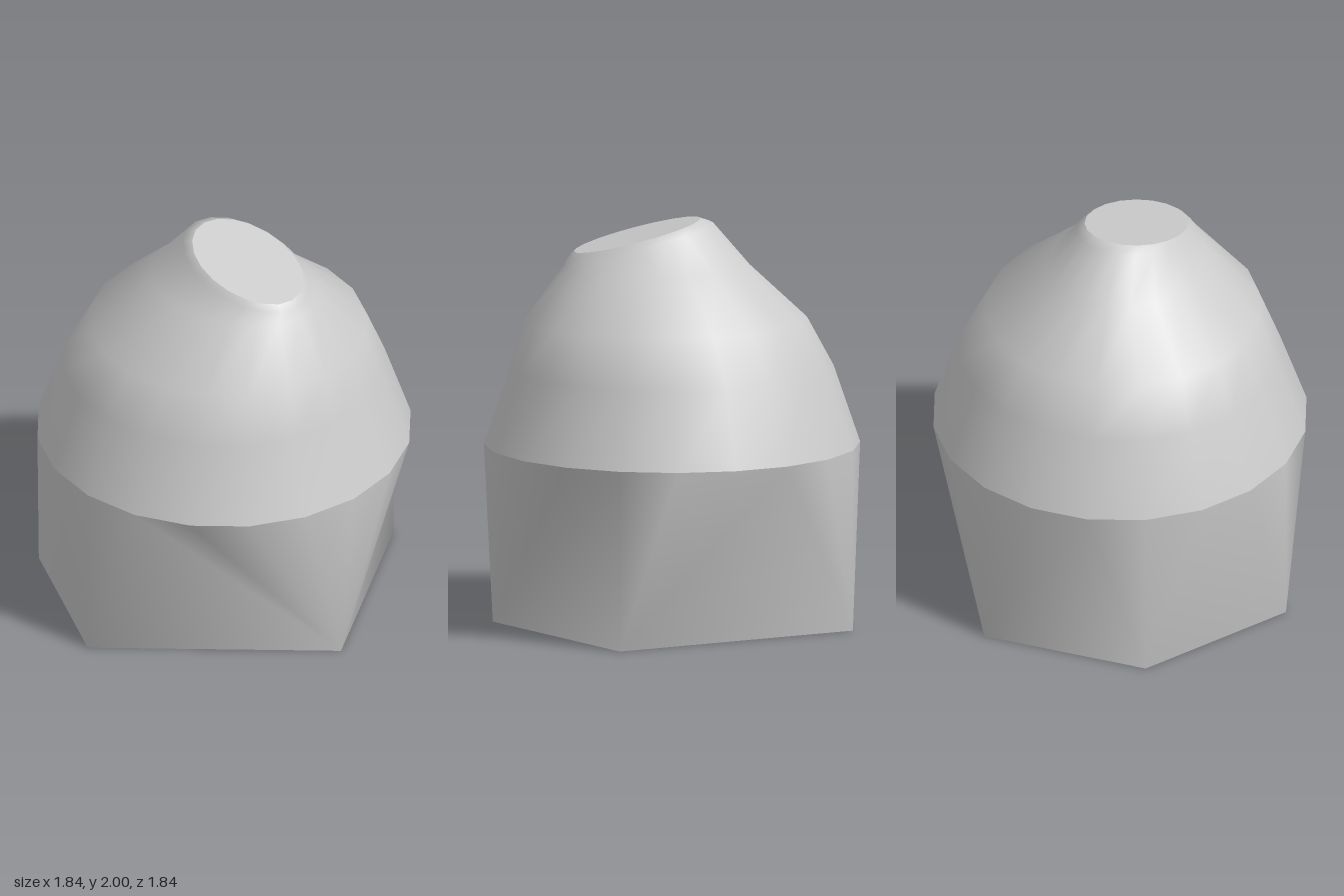
import * as THREE from 'three';

const SIDES = 20;

function surface(name, points, index) {
  const geometry = new THREE.BufferGeometry();
  geometry.setAttribute('position', new THREE.Float32BufferAttribute(points.flatMap((p) => p.toArray()), 3));
  geometry.setIndex(index);
  geometry.computeVertexNormals();
  const mesh = new THREE.Mesh(geometry, new THREE.MeshStandardMaterial({ color: 0xcccccc }));
  mesh.name = name;
  return mesh;
}

// Elliptical ring; tilt is the height gained per unit of x from its centre
function ring({ x = 0, y, rx, rz = rx, tilt = 0 }) {
  return Array.from({ length: SIDES }, (_, i) => {
    const a = (i / SIDES) * Math.PI * 2;
    const dx = rx * Math.cos(a);
    return new THREE.Vector3(x + dx, y + tilt * dx, rz * Math.sin(a));
  });
}

export function createModel() {
  const group = new THREE.Group();

  // Shoulders rising to a slanted neck
  const shoulder = { y: 0.89, rx: 0.92 };
  const levels = [
    shoulder,
    { y: 1.27, rx: 0.79 },
    { x: 0.03, y: 1.51, rx: 0.69, rz: 0.67 },
    { x: 0.075, y: 1.77, rx: 0.455, rz: 0.365 },
    { x: 0.155, y: 1.895, rx: 0.355, rz: 0.262, tilt: -0.24 },
    { x: 0.17, y: 1.92, rx: 0.31, rz: 0.235, tilt: -0.26 },
  ].map(ring);
  const domeIndex = [];
  for (let r = 0; r < levels.length - 1; r++) {
    for (let i = 0; i < SIDES; i++) {
      const j = (i + 1) % SIDES;
      const a = r * SIDES + i, b = r * SIDES + j;
      domeIndex.push(a, a + SIDES, b, b, a + SIDES, b + SIDES);
    }
  }
  group.add(surface('shoulders', levels.flat(), domeIndex));

  // Flat slanted cap closing the neck
  const rim = levels[levels.length - 1];
  const capIndex = [];
  for (let i = 1; i < SIDES - 1; i++) capIndex.push(0, i + 1, i);
  group.add(surface('neckCap', rim, capIndex));

  // Irregular five-cornered foot
  const corners = [[0.875, 0.045], [0, 0.92], [-0.744, 0.541], [-0.875, -0.284], [0.284, -0.875]]
    .map(([x, z]) => new THREE.Vector3(x, 0, z));

  // Skirt: each foot corner fans out to a run of the round ring,
  // and one large triangle fills the wall above each foot edge
  const apex = [4, 6, 9, 13, 16];
  const skirtIndex = [];
  corners.forEach((_, k) => {
    const corner = SIDES + k, next = SIDES + ((k + 1) % 5);
    const start = k === 0 ? apex[4] - SIDES : apex[k - 1];
    for (let j = start; j < apex[k]; j++) {
      skirtIndex.push((j + SIDES) % SIDES, (j + 1 + SIDES) % SIDES, corner);
    }
    skirtIndex.push(corner, apex[k], next);
  });
  group.add(surface('skirt', [...ring(shoulder), ...corners], skirtIndex));

  // Underside
  group.add(surface('base', corners, [0, 1, 2, 0, 2, 3, 0, 3, 4]));
  return group;
}
